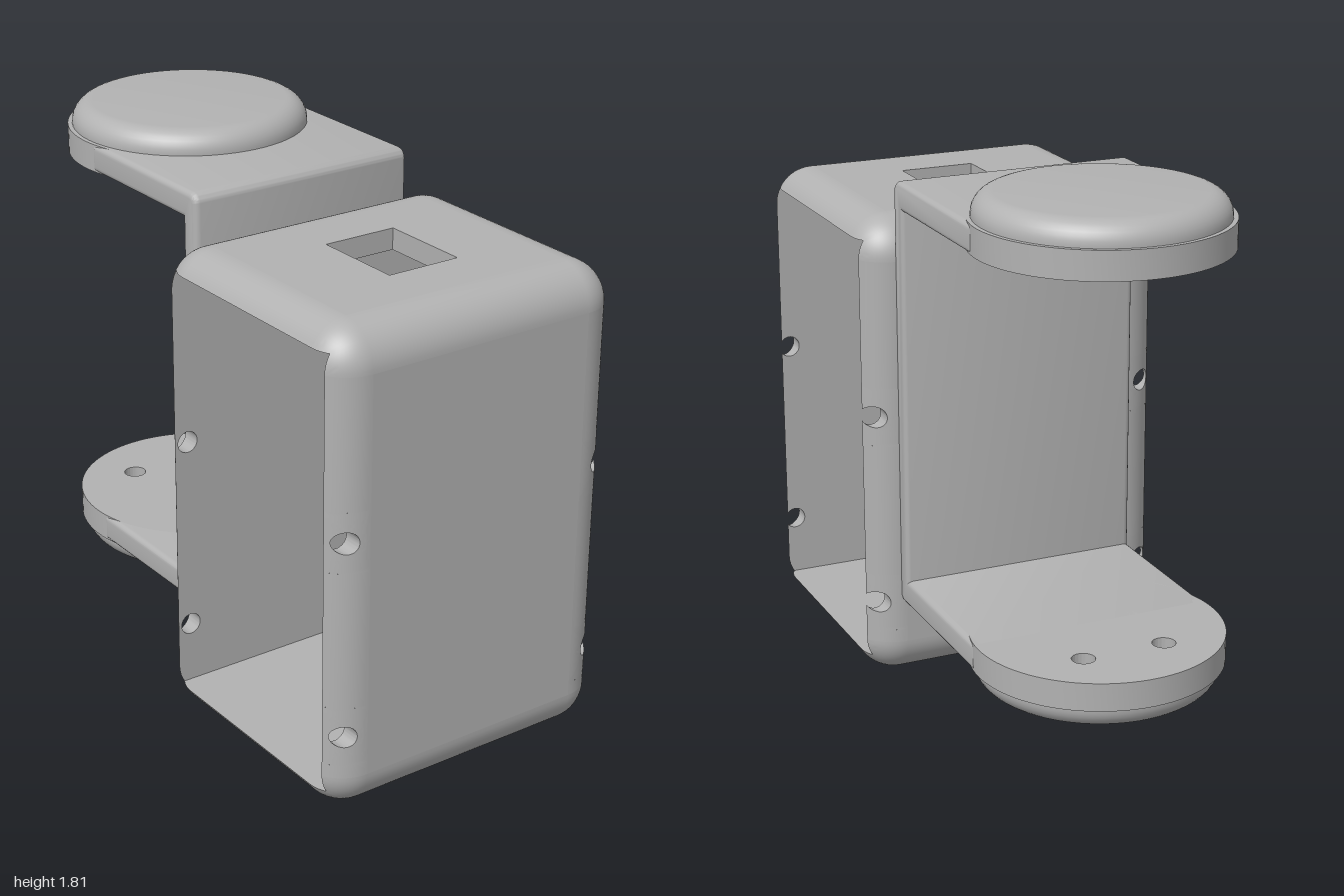
import * as THREE from 'three';
import { toCreasedNormals } from 'three/addons/utils/BufferGeometryUtils.js';

// Housing: outer limits, edge radius, wall thickness, end of flat depth, end of rim
const X0 = 0.055, X1 = 1, H = 1.598, R = 0.135, W = 0.072;
const T_END = Math.acos((R - W) / R);
const ZC = 0.404, ZE = ZC + R * Math.sin(T_END);
const HOLE_R = 0.036, HOLE_Y = [0.28, 0.937];

// Bracket
const ARM_X = -0.592, ARM_Z = -0.013, ARM_R = 0.41, TOP = 1.73, BOTTOM = 0.284, THICK = 0.093;

const grey = new THREE.MeshStandardMaterial({ color: 0xb2b2b2, side: THREE.DoubleSide });
grey.name = 'grey plastic';

function add(parent, name, geometry) {
  const mesh = new THREE.Mesh(toCreasedNormals(geometry, 0.6), grey);
  mesh.name = name;
  parent.add(mesh);
  return mesh;
}

// Surface through rows of [x, y, z] points
function loft(rows) {
  const n = rows[0].length, index = [];
  for (let i = 0; i + 1 < rows.length; i++) {
    for (let j = 0; j + 1 < n; j++) {
      const a = i * n + j, b = a + n;
      index.push(a, b, a + 1, b, b + 1, a + 1);
    }
  }
  const g = new THREE.BufferGeometry();
  g.setAttribute('position', new THREE.Float32BufferAttribute(rows.flat(2), 3));
  g.setIndex(index);
  return g;
}

// Depth of the rounded outer face below the flat face, at distance s from the middle
const depthAt = (s) => Math.min(W, R - Math.sqrt(Math.max(0, R * R - (s - ZC) ** 2)));

// Plain length of rim; place(depth, s, u) maps to space
function plainRim(place, u0, u1) {
  return loft([u0, u1].map((u) => {
    const row = [];
    for (let i = 0; i <= 10; i++) {
      const s = ZC + R * Math.sin((T_END * i) / 10);
      row.push(place(depthAt(s), s, u));
    }
    row.push(place(W, ZC, u));
    return row;
  }));
}

// Length of rim pierced by a round hole, which may break out through the edge
function piercedRim(place, u0, u1, holeS, holeU) {
  const angles = Array.from({ length: 48 }, (_, i) => (i / 48) * Math.PI * 2 - Math.PI);
  for (const s of [ZC, ZE]) for (const u of [u0, u1]) angles.push(Math.atan2(u - holeU, s - holeS));
  angles.sort((a, b) => a - b);
  angles.push(angles[0]);
  return loft(angles.map((a) => {
    const c = Math.cos(a), n = Math.sin(a);
    const reach = Math.min(
      (c > 0 ? ZE - holeS : holeS - ZC) / Math.max(Math.abs(c), 1e-6),
      (n > 0 ? u1 - holeU : holeU - u0) / Math.max(Math.abs(n), 1e-6));
    const far = [holeS + c * reach, holeU + n * reach];
    const near = [Math.min(ZE, holeS + c * HOLE_R), holeU + n * HOLE_R];
    const row = [place(W, far[0], far[1]), place(W, near[0], near[1])];
    for (let i = 0; i <= 6; i++) {
      const s = near[0] + ((far[0] - near[0]) * i) / 6;
      row.push(place(depthAt(s), s, near[1] + ((far[1] - near[1]) * i) / 6));
    }
    return row;
  }));
}

// Rounded corner running through the depth, ending on the square inner opening
function corner(sx, sy) {
  const cx = sx > 0 ? X1 - R : X0 + R, cy = sy > 0 ? H - R : R;
  const rows = [];
  for (let i = 0; i <= 16; i++) {
    const a = (i / 16) * Math.PI / 2, c = Math.cos(a), n = Math.sin(a);
    const tEnd = Math.acos((R - W) / (R * Math.max(c, n)));
    const row = [];
    for (const side of [-1, 1]) {
      for (let k = 0; k <= 10; k++) {
        const t = tEnd * (side < 0 ? 1 - k / 10 : k / 10), q = R * Math.cos(t);
        row.push([cx + sx * q * c, cy + sy * q * n, side * (ZC + R * Math.sin(t))]);
      }
    }
    row.push(row[0]);
    rows.push(row);
  }
  return loft(rows);
}

function makeHousing() {
  const g = new THREE.Group();
  g.name = 'housing';
  const midX = (X0 + X1) / 2, wide = X1 - X0 - 2 * R;

  // Flat panels; the top one has a rectangular window
  for (const x of [X0 + W / 2, X1 - W / 2]) {
    add(g, 'sidePanel', new THREE.BoxGeometry(W, H - 2 * R, 2 * ZC)).position.set(x, H / 2, 0);
  }
  add(g, 'bottomPanel', new THREE.BoxGeometry(wide, W, 2 * ZC)).position.set(midX, W / 2, 0);
  const rect = (Type, xa, xb, ya, yb) => new Type([[xa, ya], [xb, ya], [xb, yb], [xa, yb]].map((p) => new THREE.Vector2(...p)));
  const panel = rect(THREE.Shape, X0 + R, X1 - R, -ZC, ZC);
  panel.holes.push(rect(THREE.Path, 0.363, 0.683, -0.11, 0.147));
  const top = new THREE.ExtrudeGeometry(panel, { depth: W, bevelEnabled: false });
  add(g, 'topPanel', top.rotateX(-Math.PI / 2)).position.y = H - W;

  for (const sz of [1, -1]) {
    // Rims of the top and bottom
    add(g, 'topRim', plainRim((d, s, u) => [u, H - d, sz * s], X0 + R, X1 - R));
    add(g, 'bottomRim', plainRim((d, s, u) => [u, d, sz * s], X0 + R, X1 - R));
    // Rims of the sides, with two screw holes each
    for (const sx of [1, -1]) {
      const place = (d, s, u) => [sx > 0 ? X1 - d : X0 + d, u, sz * s];
      let from = R;
      for (const y of HOLE_Y) {
        add(g, 'sideRim', plainRim(place, from, y - 0.1));
        add(g, 'piercedSideRim', piercedRim(place, y - 0.1, y + 0.1, sz > 0 ? 0.476 : 0.494, y));
        from = y + 0.1;
      }
      add(g, 'sideRim', plainRim(place, from, H - R));
    }
  }
  for (const sx of [1, -1]) for (const sy of [1, -1]) add(g, 'corner', corner(sx, sy));
  return g;
}

function makeBracket() {
  const g = new THREE.Group();
  g.name = 'bracket';
  g.position.z = ARM_Z;

  // U-shaped strap with softened edges
  const end = -0.55, back = 0.072, inner = -0.005, c = 0.035, bevel = 0.02;
  const u = new THREE.Shape();
  u.moveTo(end, BOTTOM);
  u.lineTo(back - c, BOTTOM);
  u.absarc(back - c, BOTTOM + c, c, -Math.PI / 2, 0);
  u.lineTo(back, TOP - c);
  u.absarc(back - c, TOP - c, c, 0, Math.PI / 2);
  u.lineTo(end, TOP);
  u.lineTo(end, TOP - THICK);
  u.lineTo(inner, TOP - THICK);
  u.lineTo(inner, BOTTOM + THICK);
  u.lineTo(end, BOTTOM + THICK);
  const strap = new THREE.ExtrudeGeometry(u, {
    depth: 2 * (ARM_R - bevel), bevelThickness: bevel, bevelSize: bevel,
    bevelOffset: -bevel, bevelSegments: 4, curveSegments: 6,
  });
  add(g, 'strap', strap).position.z = -(ARM_R - bevel);

  // Round plate with two screw holes, and a soft-edged pad outside it
  const disc = new THREE.Shape();
  disc.absarc(0, 0, ARM_R, 0, Math.PI * 2);
  for (const s of [1, -1]) {
    const hole = new THREE.Path();
    hole.absarc(-0.19, s * 0.14, 0.038, 0, Math.PI * 2);
    disc.holes.push(hole);
  }
  const profile = [new THREE.Vector2(0.395, 0)];
  for (let i = 0; i <= 8; i++) {
    const a = (i / 8) * Math.PI / 2;
    profile.push(new THREE.Vector2(0.325 + 0.07 * Math.cos(a), 0.006 + 0.07 * Math.sin(a)));
  }
  profile.push(new THREE.Vector2(0, 0.076));
  for (const s of [1, -1]) {
    const arm = new THREE.Group();
    arm.name = s > 0 ? 'upperEnd' : 'lowerEnd';
    arm.position.set(ARM_X, s > 0 ? TOP : BOTTOM, 0);
    if (s < 0) arm.rotation.x = Math.PI;
    const plate = new THREE.ExtrudeGeometry(disc, { depth: THICK, bevelEnabled: false, curveSegments: 48 });
    add(arm, 'roundPlate', plate.rotateX(-Math.PI / 2)).position.y = -THICK;
    add(arm, 'pad', new THREE.LatheGeometry(profile, 64));
    // Floor that closes the screw holes
    add(arm, 'padBase', new THREE.CircleGeometry(0.395, 64).rotateX(Math.PI / 2)).position.y = -0.0005;
    g.add(arm);
  }
  return g;
}

export function createModel() {
  const model = new THREE.Group();
  model.name = 'bracketAndHousing';
  model.add(makeHousing(), makeBracket());
  return model;
}
